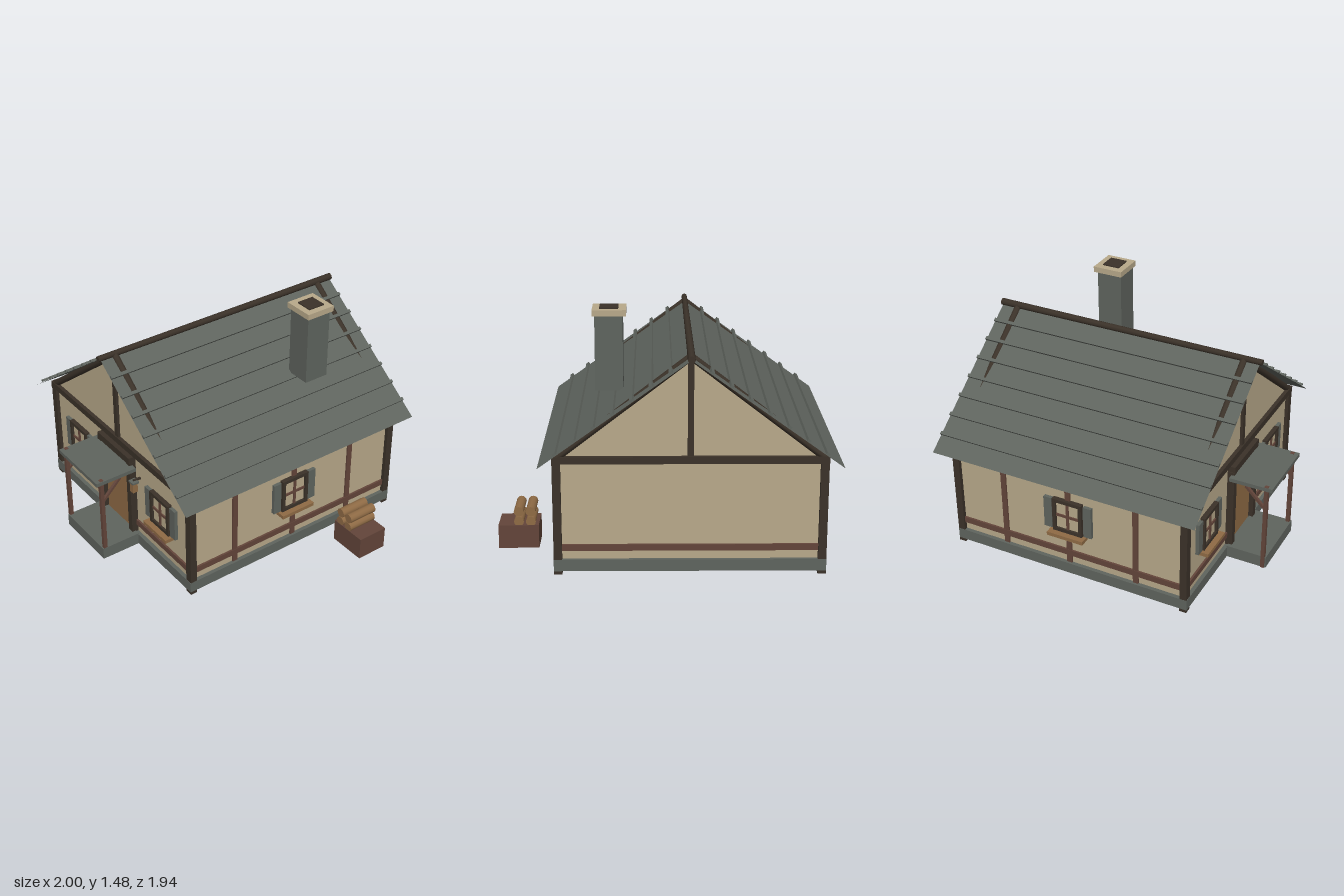
import * as THREE from 'three';

const mat = (name, color, side = THREE.FrontSide) => {
  const m = new THREE.MeshStandardMaterial({ color, side });
  m.name = name;
  return m;
};

export function createModel() {
  const house = new THREE.Group();
  house.name = 'cottage';
  const plaster = mat('plaster', 0xb8a98a);
  const slate = mat('slate grey', 0x5f645e, THREE.DoubleSide);
  const darkWood = mat('dark timber', 0x3b3229);
  const redWood = mat('red brown timber', 0x63453a);
  const paleWood = mat('pale wood', 0x8f6b45);

  const CX = -0.14, CZ = -0.0925;          // centre of the house
  const HX = 0.76, FRONT = 0.67, BACK = -0.855;

  const add = (name, geo, material, parent = house) => {
    const m = new THREE.Mesh(geo, material);
    m.name = name;
    parent.add(m);
    return m;
  };
  // Box given by its extents
  const box = (name, material, x0, x1, y0, y1, z0, z1, parent) => {
    const m = add(name, new THREE.BoxGeometry(x1 - x0, y1 - y0, z1 - z0), material, parent);
    m.position.set((x0 + x1) / 2, (y0 + y1) / 2, (z0 + z1) / 2);
    return m;
  };
  // Round pole between two points
  const pole = (name, material, a, b, r0, r1 = r0, sides = 8, parent) => {
    const A = new THREE.Vector3(...a), B = new THREE.Vector3(...b);
    const dir = B.clone().sub(A);
    const m = add(name, new THREE.CylinderGeometry(r1, r0, dir.length(), sides), material, parent);
    m.position.copy(A).add(B).multiplyScalar(0.5);
    m.quaternion.setFromUnitVectors(new THREE.Vector3(0, 1, 0), dir.normalize());
    return m;
  };

  // Foundation and walls with both gables
  box('foundation', slate, -0.925, 0.645, 0.02, 0.09, -0.877, 0.695);
  const profile = new THREE.Shape([[-HX, 0.08], [HX, 0.08], [HX, 0.69], [0, 1.275], [-HX, 0.69]]
    .map(([x, y]) => new THREE.Vector2(x, y)));
  const walls = add('walls', new THREE.ExtrudeGeometry(profile, { depth: FRONT - BACK, bevelEnabled: false }), plaster);
  walls.position.set(CX, 0, BACK);

  // Corner posts, side plates, rails and studs
  for (const s of [-1, 1]) {
    const x = CX + s * HX;
    for (const z of [FRONT, BACK]) box('cornerPost', darkWood, x - 0.024, x + 0.024, 0, 0.69, z - 0.022, z + 0.022);
    box('sidePlate', darkWood, x - 0.02, x + 0.02, 0.67, 0.71, BACK, FRONT);
    box('sideRail', redWood, x - 0.013, x + 0.013, 0.142, 0.18, BACK, FRONT);
    for (const z of [0.355, -0.09, -0.53])
      box('sideStud', redWood, x - 0.011, x + 0.011, 0.09, 0.68, z - 0.017, z + 0.017);
  }

  // Gable framing at front and back
  for (const z of [FRONT, BACK]) {
    box('tieBeam', darkWood, -0.925, 0.645, 0.67, 0.712, z - 0.024, z + 0.024);
    box('gableRail', redWood, CX - HX, CX + HX, 0.142, 0.18, z - 0.013, z + 0.013);
    box('kingPost', darkWood, CX - 0.017, CX + 0.017, 0.7, 1.27, z - 0.018, z + 0.018);
    for (const s of [-1, 1])
      pole('rakeBeam', darkWood, [CX + s * 0.77, 0.692, z], [CX, 1.287, z], 0.022);
  }

  // Roof slopes with battens, and the ridge pole
  const slopeLen = Math.hypot(0.86, 0.62);
  for (const turn of [0, Math.PI]) {
    const side = new THREE.Group();
    side.name = 'roofSide';
    side.position.set(CX, 1.29, -0.095);
    side.rotation.y = turn;
    const slope = new THREE.Group();
    slope.rotation.z = -Math.atan2(0.62, 0.86);
    side.add(slope);
    house.add(side);
    const sheet = add('roofSlope', new THREE.PlaneGeometry(slopeLen, 1.73), slate, slope);
    sheet.rotation.x = -Math.PI / 2;
    sheet.position.x = slopeLen / 2;
    for (let k = 1; k <= 7; k++) {
      const d = 0.133 * k;
      box('roofBatten', slate, d - 0.01, d + 0.01, 0.003, 0.018, -0.865, 0.865, slope);
    }
  }
  pole('ridgePole', darkWood, [CX, 1.295, -0.97], [CX, 1.295, 0.785], 0.022, 0.018);

  // Chimney
  box('chimneyStack', slate, 0.245, 0.408, 0.995, 1.445, -0.5, -0.337);
  box('chimneyCap', plaster, 0.225, 0.422, 1.44, 1.476, -0.518, -0.325);
  box('flue', darkWood, 0.27, 0.38, 1.46, 1.483, -0.477, -0.366);

  // Window facing +z, its wall plane at z = 0
  const addWindow = (x, y, z, turn) => {
    const g = new THREE.Group();
    g.name = 'window';
    g.position.set(x, y, z);
    g.rotation.y = turn;
    house.add(g);
    box('pane', plaster, -0.09, 0.09, -0.105, 0.105, 0.006, 0.015, g);
    for (const s of [-1, 1]) {
      box('frameSide', darkWood, s * 0.087 - 0.011, s * 0.087 + 0.011, -0.112, 0.112, 0, 0.03, g);
      box('frameBar', darkWood, -0.098, 0.098, s * 0.101 - 0.011, s * 0.101 + 0.011, 0, 0.029, g);
      box('shutter', slate, s * 0.132 - 0.027, s * 0.132 + 0.027, -0.105, 0.105, 0, 0.022, g);
    }
    box('mullion', redWood, -0.008, 0.008, -0.092, 0.092, 0.01, 0.024, g);
    box('transom', redWood, -0.078, 0.078, -0.008, 0.008, 0.01, 0.023, g);
    box('sill', paleWood, -0.12, 0.12, -0.135, -0.112, 0, 0.065, g);
  };
  addWindow(-0.605, 0.415, FRONT, 0);
  addWindow(0.325, 0.415, FRONT, 0);
  addWindow(CX + HX, 0.425, -0.087, Math.PI / 2);
  addWindow(CX - HX, 0.425, -0.087, -Math.PI / 2);

  // Door with frame
  box('door', paleWood, -0.29, 0.01, 0.09, 0.62, FRONT + 0.006, FRONT + 0.015);
  for (const x of [-0.305, 0.02]) box('doorPost', darkWood, x - 0.02, x + 0.02, 0.09, 0.62, FRONT, 0.715);
  box('lintel', darkWood, -0.32, 0.038, 0.612, 0.658, FRONT, 0.717);

  // Porch
  box('porchStep', slate, -0.35, 0.075, 0.02, 0.097, 0.69, 0.95);
  box('porchRoof', slate, -0.36, 0.08, 0.58, 0.604, 0.695, 0.97);
  for (const x of [-0.346, 0.062]) {
    box('porchPost', redWood, x - 0.012, x + 0.012, 0.02, 0.606, 0.918, 0.942);
    const brace = box('porchBrace', redWood, x - 0.009, x + 0.009, 0.415, 0.6, 0.857, 0.873);
    brace.rotation.x = -Math.PI / 4;
  }

  // Lantern beside the door
  box('lantern', paleWood, 0.068, 0.102, 0.445, 0.512, 0.7, 0.735);
  box('lanternCap', slate, 0.063, 0.112, 0.512, 0.524, 0.695, 0.74);
  box('lanternArm', darkWood, 0.078, 0.092, 0.518, 0.53, FRONT, 0.72);

  // Firewood crate with stacked logs
  box('woodCrate', redWood, 0.758, 1, 0.02, 0.165, -0.525, -0.325);
  for (const x of [0.805, 0.876])
    for (const y of [0.188, 0.25]) pole('log', paleWood, [x, y, -0.523], [x, y, -0.327], 0.03, 0.03, 12);

  return house;
}
